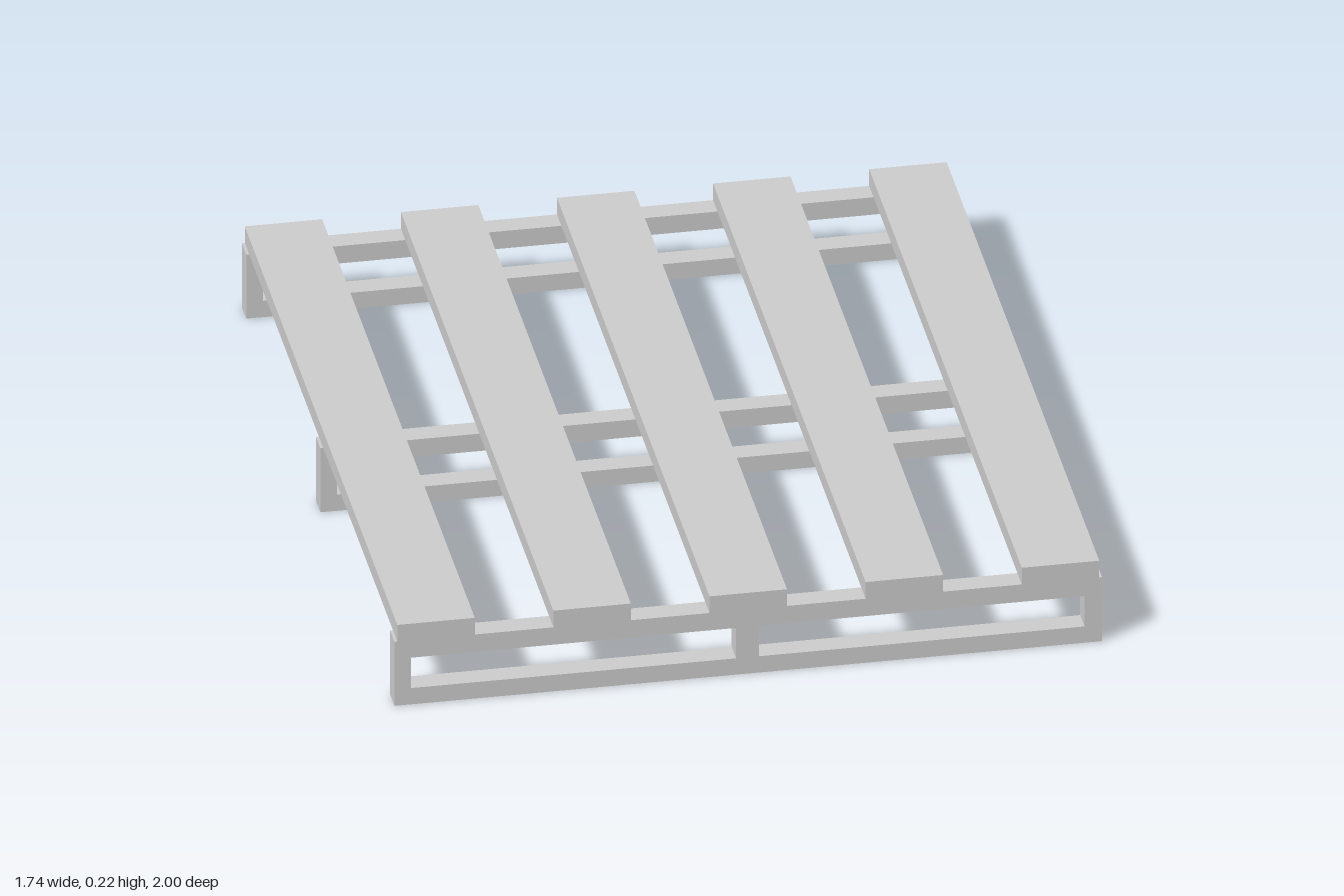
import * as THREE from 'three';

const material = new THREE.MeshStandardMaterial({ color: 0xcccccc, flatShading: true });

// Rectangle outline from corner to corner
function rect(path, x0, y0, x1, y1) {
  path.moveTo(x0, y0);
  path.lineTo(x1, y0);
  path.lineTo(x1, y1);
  path.lineTo(x0, y1);
  path.closePath();
  return path;
}

export function createModel() {
  const group = new THREE.Group();
  group.name = 'pallet';

  const frameTop = 0.177, frameDepth = 0.057, slatHeight = 0.046;

  // Bearer frames: upright panels with two long openings
  const outline = rect(new THREE.Shape(), -0.868, 0, 0.868, frameTop);
  outline.holes.push(
    rect(new THREE.Path(), -0.827, 0.045, -0.03, 0.129),
    rect(new THREE.Path(), 0.026, 0.045, 0.825, 0.129),
  );
  const frameGeometry = new THREE.ExtrudeGeometry(outline, { depth: frameDepth, bevelEnabled: false });
  frameGeometry.translate(0, 0, -frameDepth / 2);
  const offset = 1 - frameDepth / 2;
  [['frontFrame', offset], ['middleFrame', 0], ['backFrame', -offset]].forEach(([name, z]) => {
    const frame = new THREE.Mesh(frameGeometry, material);
    frame.name = name;
    frame.position.z = z;
    group.add(frame);
  });

  // Deck slats running front to back
  const slatGeometry = new THREE.BoxGeometry(0.19, slatHeight, 2);
  for (let i = -2; i <= 2; i++) {
    const slat = new THREE.Mesh(slatGeometry, material);
    slat.name = `deckSlat${i + 3}`;
    slat.position.set(i * 0.383, frameTop + slatHeight / 2, 0);
    group.add(slat);
  }

  return group;
}
